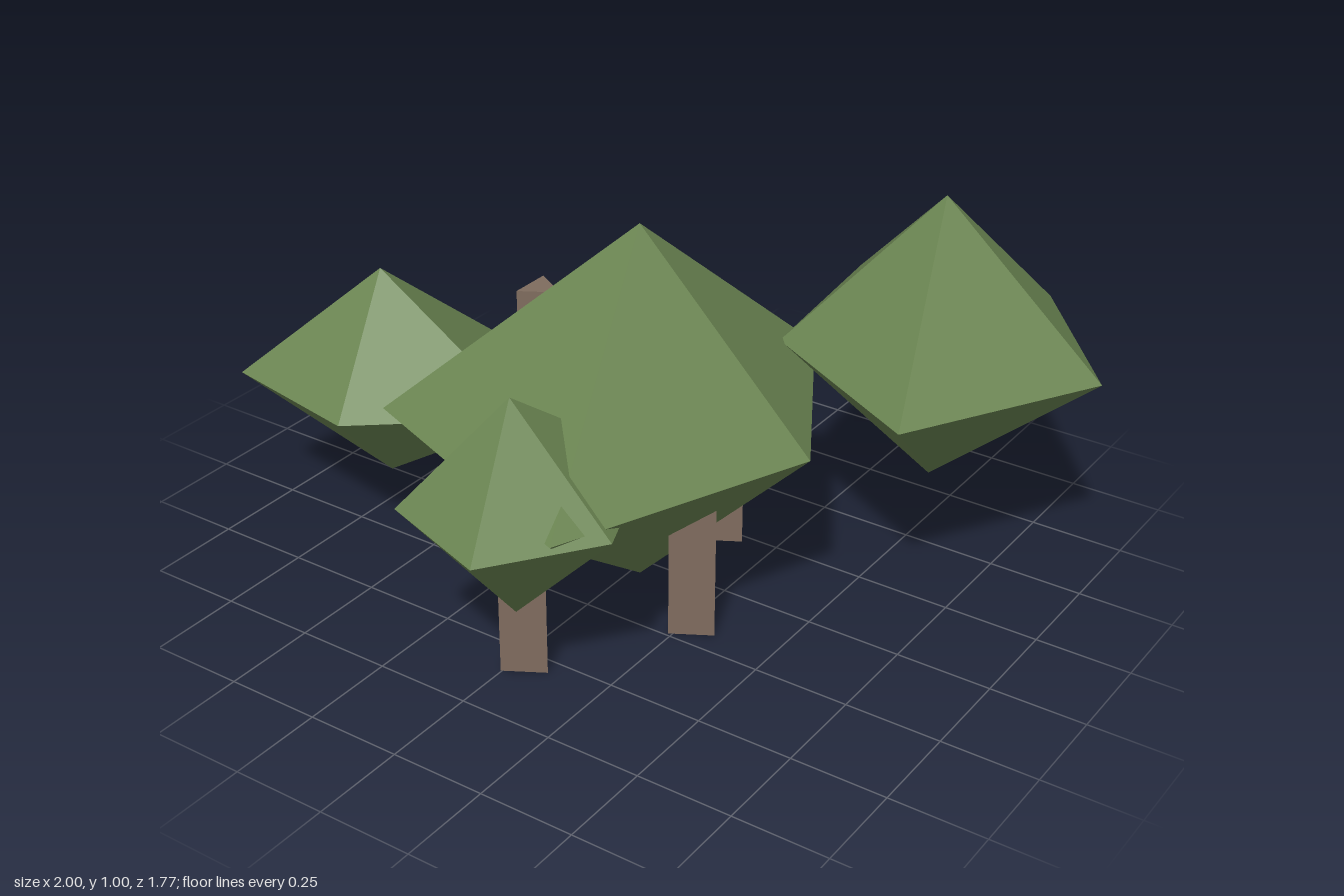
import * as THREE from 'three';

const leafMaterial = new THREE.MeshStandardMaterial({ color: 0x6b8552, flatShading: true });
const barkMaterial = new THREE.MeshStandardMaterial({ color: 0x7f6c5e, flatShading: true });

// Five-sided double pyramid with an uneven rim; radii run counter-clockwise from +x seen from above
function foliageGeometry(halfHeight, radii) {
  const n = radii.length;
  const rim = radii.map((r, i) => {
    const a = (i / n) * Math.PI * 2;
    return [r * Math.cos(a), 0, -r * Math.sin(a)];
  });
  const top = [0, halfHeight, 0];
  const bottom = [0, -halfHeight, 0];
  const points = [];
  for (let i = 0; i < n; i++) {
    const p = rim[i];
    const q = rim[(i + 1) % n];
    points.push(...top, ...p, ...q, ...bottom, ...q, ...p);
  }
  const geometry = new THREE.BufferGeometry();
  geometry.setAttribute('position', new THREE.Float32BufferAttribute(points, 3));
  geometry.computeVertexNormals();
  return geometry;
}

export function createModel() {
  const group = new THREE.Group();
  group.name = 'bushyTree';

  // Foliage clumps
  const clumps = [
    { name: 'mainFoliage', at: [0.047, 0.512, 0.085], h: 0.487, radii: [0.487, 0.57, 0.595, 0.63, 0.69] },
    { name: 'backFoliage', at: [0.553, 0.598, -0.5], h: 0.39, radii: [0.447, 0.408, 0.467, 0.398, 0.52] },
    { name: 'sideFoliage', at: [-0.695, 0.428, 0.177], h: 0.295, radii: [0.467, 0.355, 0.345, 0.376, 0.314] },
    { name: 'frontFoliage', at: [0.065, 0.49, 0.621], h: 0.285, radii: [0.278, 0.4, 0.28, 0.27, 0.278] },
  ];
  for (const { name, at, h, radii } of clumps) {
    const clump = new THREE.Mesh(foliageGeometry(h, radii), leafMaterial);
    clump.name = name;
    clump.position.set(...at);
    group.add(clump);
  }

  // Three-sided trunks with one corner towards +x
  const trunks = [
    { name: 'sideTrunk', x: -0.293, z: 0.033, r: 0.064, h: 0.723 },
    { name: 'frontTrunk', x: 0.03, z: 0.545, r: 0.066, h: 0.5 },
    { name: 'rightTrunk', x: 0.273, z: 0.185, r: 0.066, h: 0.5 },
    { name: 'backTrunk', x: 0.098, z: -0.224, r: 0.062, h: 0.5 },
  ];
  for (const { name, x, z, r, h } of trunks) {
    const trunk = new THREE.Mesh(new THREE.CylinderGeometry(r, r, h, 3, 1, false, Math.PI / 2), barkMaterial);
    trunk.name = name;
    trunk.position.set(x, h / 2, z);
    group.add(trunk);
  }
  return group;
}
